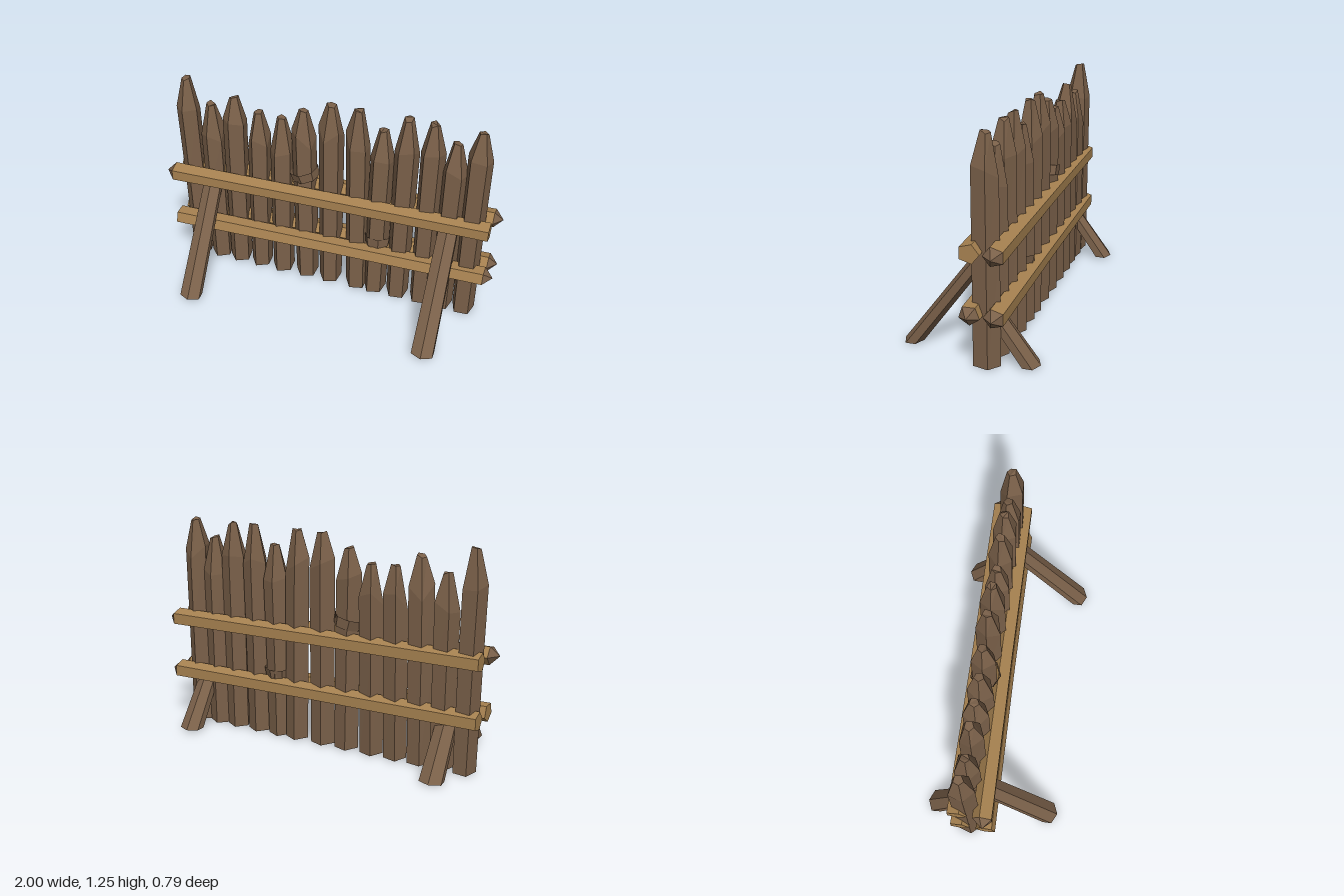
import * as THREE from 'three';

// Small seeded generator for hand-cut irregularity, range -1..1
let seed = 11;
function rnd() {
  seed = (seed * 16807) % 2147483647;
  return (seed / 2147483647) * 2 - 1;
}

// Loft of horizontal rings; station = { x, y, z, rx, rz, dy } (dy: uneven ring height)
function loft(stations, sides, phase, wobble = 0) {
  const scale = Array.from({ length: sides }, () => 1 + rnd() * wobble);
  const rings = stations.map((s) => scale.map((k, i) => {
    const a = phase + (i / sides) * Math.PI * 2;
    return new THREE.Vector3(
      s.x + Math.cos(a) * s.rx * k,
      s.y + (s.dy ? rnd() * s.dy : 0),
      s.z + Math.sin(a) * s.rz * k);
  }));
  const pos = [];
  const tri = (...pts) => pts.forEach((p) => pos.push(p.x, p.y, p.z));
  for (let r = 0; r < rings.length - 1; r++) {
    for (let i = 0; i < sides; i++) {
      const j = (i + 1) % sides;
      const [a, b, c, d] = [rings[r][i], rings[r][j], rings[r + 1][i], rings[r + 1][j]];
      tri(a, c, b);
      tri(b, c, d);
    }
  }
  // End caps
  const first = rings[0], last = rings[rings.length - 1];
  for (let i = 1; i < sides - 1; i++) {
    tri(first[0], first[i], first[i + 1]);
    tri(last[0], last[i + 1], last[i]);
  }
  const geo = new THREE.BufferGeometry();
  geo.setAttribute('position', new THREE.Float32BufferAttribute(pos, 3));
  geo.computeVertexNormals();
  return geo;
}

export function createModel() {
  seed = 11;
  const brown = new THREE.MeshStandardMaterial({ color: 0x7a6049, flatShading: true });
  brown.name = 'bark brown';
  const gold = new THREE.MeshStandardMaterial({ color: 0xa68150, flatShading: true });
  gold.name = 'pale timber';
  const band = new THREE.MeshStandardMaterial({ color: 0x7a6049, flatShading: true, side: THREE.DoubleSide });
  band.name = 'band brown';

  const model = new THREE.Group();
  model.name = 'palisade';
  const add = (parent, name, geo, mat) => {
    const mesh = new THREE.Mesh(geo, mat);
    mesh.name = name;
    parent.add(mesh);
    return mesh;
  };

  // Row of sharpened stakes: [x, height]
  const stakes = new THREE.Group();
  stakes.name = 'stakes';
  model.add(stakes);
  const row = [
    [-0.875, 1.25], [-0.735, 1.11], [-0.595, 1.18], [-0.45, 1.11], [-0.305, 1.11],
    [-0.16, 1.18], [0, 1.25], [0.165, 1.25], [0.295, 1.155], [0.435, 1.25],
    [0.58, 1.25], [0.71, 1.155], [0.845, 1.25],
  ];
  row.forEach(([x, h], i) => {
    const lean = rnd() * 0.008;
    const z = -0.122;
    add(stakes, 'stake' + (i + 1), loft([
      { x: x - lean, y: 0, z, rx: 0.068, rz: 0.077 },
      { x, y: h * 0.5, z, rx: 0.071, rz: 0.075 },
      { x: x + lean, y: h - 0.2, z, rx: 0.073, rz: 0.073, dy: 0.05 },
      { x: x + lean, y: h - 0.015, z: z - 0.005, rx: 0.027, rz: 0.028, dy: 0.012 },
    ], 5, i * 1.3 + 0.4, 0.05), brown);
  });

  // Rails: one flat sawn end and one pointed end (tip = +1 or -1)
  function rail(name, y, zLeft, zRight, tip, phase) {
    const group = new THREE.Group();
    group.name = name;
    const r = 0.054;
    const at = (x, k = 1) => ({
      x: -y, y: x, z: THREE.MathUtils.lerp(zLeft, zRight, (x + 0.95) / 1.9), rx: r * k, rz: r * 1.1 * k,
    });
    const beam = loft([at(-0.95), at(0, 0.93), at(0.95)], 5, phase);
    const point = loft(tip > 0 ? [at(0.95), at(1, 0.02)] : [at(-1, 0.02), at(-0.95)], 5, phase);
    add(group, name + 'Beam', beam.rotateZ(-Math.PI / 2), gold);
    add(group, name + 'Tip', point.rotateZ(-Math.PI / 2), brown);
    model.add(group);
  }
  const flatFront = Math.PI * 0.3;
  rail('frontUpperRail', 0.643, -0.012, -0.068, -1, flatFront);
  rail('frontLowerRail', 0.315, -0.008, -0.068, 1, flatFront + 0.28);
  rail('backUpperRail', 0.643, -0.162, -0.2, 1, flatFront + Math.PI);
  rail('backLowerRail', 0.315, -0.162, -0.2, 1, flatFront + Math.PI);

  // Slanted braces, cut level at the ground
  function brace(name, x, zFoot, zTop, yTop) {
    add(model, name, loft([
      { x, y: 0.008, z: zFoot, rx: 0.072, rz: 0.055 },
      { x, y: yTop, z: zTop, rx: 0.062, rz: 0.05 },
    ], 6, Math.PI / 6, 0.03), brown);
  }
  brace('frontRightBrace', -0.738, 0.338, -0.105, 0.605);
  brace('frontLeftBrace', 0.716, 0.338, -0.105, 0.605);
  brace('backRightBrace', -0.768, -0.338, -0.13, 0.29);
  brace('backLeftBrace', 0.785, -0.338, -0.13, 0.29);

  // Bands wrapped around two stakes
  const upper = add(model, 'upperBand', new THREE.CylinderGeometry(0.088, 0.08, 0.06, 7, 1, true), band);
  upper.position.set(-0.16, 0.75, -0.122);
  upper.rotation.set(0.05, 0, 0.25);
  const lower = add(model, 'lowerBand', new THREE.CylinderGeometry(0.083, 0.076, 0.06, 7, 1, true), band);
  lower.position.set(0.295, 0.385, -0.122);
  lower.rotation.set(-0.1, 0.3, 0);

  return model;
}
